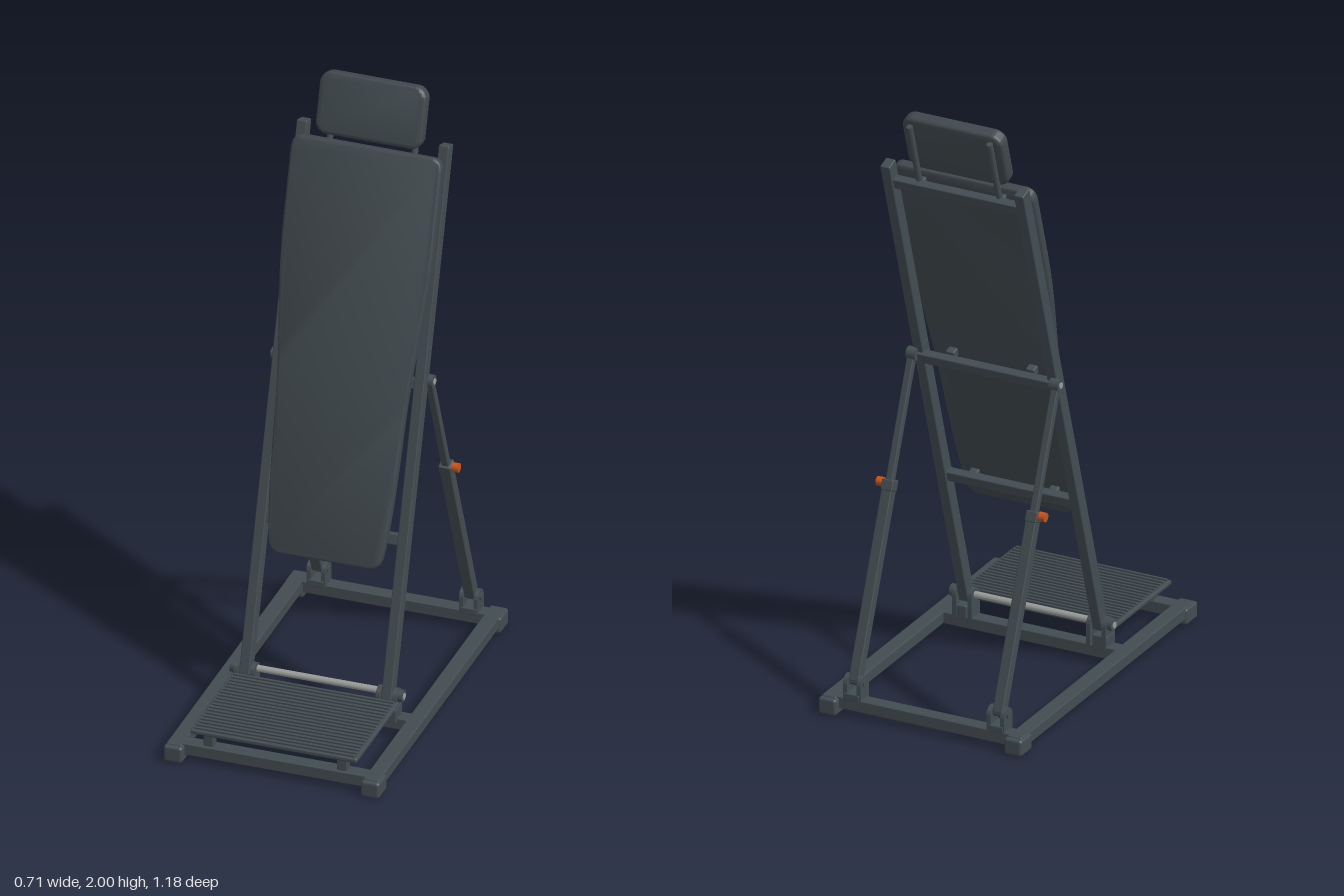
import * as THREE from 'three';
import { toCreasedNormals } from 'three/addons/utils/BufferGeometryUtils.js';
import { RoundedBoxGeometry } from 'three/addons/geometries/RoundedBoxGeometry.js';

const material = (name, color) => {
  const m = new THREE.MeshStandardMaterial({ color });
  m.name = name;
  return m;
};

export function createModel() {
  const steel = material('dark steel', 0x424c51);
  const padding = material('dark padding', 0x3f484d);
  const metal = material('bare metal', 0x979b98);
  const orange = material('orange knob', 0xc4521f);

  const model = new THREE.Group();
  model.name = 'inclineBench';

  const add = (parent, name, geometry, mat, x = 0, y = 0, z = 0) => {
    const mesh = new THREE.Mesh(geometry, mat);
    mesh.name = name;
    mesh.position.set(x, y, z);
    parent.add(mesh);
    return mesh;
  };
  const box = (parent, name, w, h, d, x, y, z, r = 0.004, mat = steel) =>
    add(parent, name, new RoundedBoxGeometry(w, h, d, 2, r), mat, x, y, z);
  // Cylinder lying along x
  const pin = (parent, name, r, length, x, y, z, mat = steel) =>
    add(parent, name, new THREE.CylinderGeometry(r, r, length, 24).rotateZ(Math.PI / 2), mat, x, y, z);
  // Padded slab: outline in x/y, thickness centred on z
  const slab = (parent, name, shape, thickness, bevel, z) => {
    const g = new THREE.ExtrudeGeometry(shape, {
      depth: thickness - 2 * bevel, bevelThickness: bevel, bevelSize: bevel,
      bevelOffset: -bevel, bevelSegments: 4, curveSegments: 10,
    });
    g.translate(0, 0, bevel - thickness / 2);
    return add(parent, name, toCreasedNormals(g, 0.7), padding, 0, 0, z);
  };
  // Bracket plate with a rounded top, facing along x
  const bracket = (name, x, z, pivotY, halfWidth) => {
    const s = new THREE.Shape();
    s.moveTo(-halfWidth, 0.055);
    s.lineTo(halfWidth, 0.055);
    s.lineTo(halfWidth, pivotY);
    s.absarc(0, pivotY, halfWidth, 0, Math.PI);
    s.closePath();
    const g = new THREE.ExtrudeGeometry(s, { depth: 0.014, bevelEnabled: false, curveSegments: 16 });
    g.translate(0, 0, -0.007).rotateY(Math.PI / 2);
    add(model, name, toCreasedNormals(g, 0.6), steel, x, 0, z);
  };

  const pivot = { y: 0.13, z: 0.166 };
  const strutFoot = new THREE.Vector3(0, 0.11, -0.535);
  const strutTop = new THREE.Vector3(0, 1.075, -0.157);
  const strutDir = strutTop.clone().sub(strutFoot);
  const strutLength = strutDir.length();
  const strutAngle = Math.atan2(strutDir.z, strutDir.y);

  // Floor frame
  for (const z of [-0.54, 0.165, 0.538])
    box(model, 'baseCrossbar', 0.61, 0.04, 0.048, 0, 0.04, z);

  // Foot platform with ribbed top
  box(model, 'footPlate', 0.55, 0.016, 0.385, 0, 0.11, 0.376, 0.006);
  for (let i = 0; i < 19; i++)
    box(model, 'footPlateRib', 0.53, 0.009, 0.009, 0, 0.12, 0.2 + i * 0.0197, 0.002);
  pin(model, 'pivotAxle', 0.011, 0.5, 0, pivot.y + 0.003, 0.161, metal);

  // Tilted back frame: y runs along the rails, z points out of the pad
  const back = new THREE.Group();
  back.name = 'backFrame';
  back.position.set(0, pivot.y, pivot.z);
  back.rotation.x = -0.301;
  model.add(back);
  box(back, 'lowerCrossbar', 0.45, 0.036, 0.03, 0, 0.49, 0);
  box(back, 'middleCrossbar', 0.49, 0.036, 0.03, 0, 0.985, -0.018);
  box(back, 'upperCrossbar', 0.45, 0.036, 0.03, 0, 1.685, 0);

  for (const side of [-1, 1]) {
    box(model, 'baseRail', 0.05, 0.04, 1.15, side * 0.325, 0.04, 0);
    for (const z of [-0.551, 0.551])
      box(model, 'foot', 0.062, 0.056, 0.076, side * 0.325, 0.028, z, 0.01);
    box(model, 'platformPost', 0.032, 0.05, 0.036, side * 0.22, 0.08, 0.535);

    // Front pivot brackets and bolts
    for (const x of [0.207, 0.261]) bracket('pivotBracket', side * x, 0.166, 0.125, 0.028);
    box(model, 'pivotBase', 0.05, 0.05, 0.06, side * 0.245, 0.07, 0.17);
    pin(model, 'pivotBoss', 0.02, 0.022, side * 0.273, pivot.y, pivot.z);
    pin(model, 'pivotBolt', 0.011, 0.008, side * 0.283, pivot.y, pivot.z, metal);

    // Rear brackets
    for (const x of [0.227, 0.275]) bracket('strutBracket', side * x, -0.535, 0.105, 0.028);
    box(model, 'strutBase', 0.055, 0.025, 0.06, side * 0.252, 0.065, -0.535);
    pin(model, 'strutBolt', 0.012, 0.07, side * 0.252, strutFoot.y, strutFoot.z);

    // Telescopic support strut
    const strut = new THREE.Group();
    strut.name = 'supportStrut';
    strut.position.set(side * 0.252, strutFoot.y, strutFoot.z);
    strut.rotation.x = strutAngle;
    model.add(strut);
    box(strut, 'outerTube', 0.036, 0.62, 0.036, 0, 0.31, 0);
    box(strut, 'tubeCollar', 0.04, 0.035, 0.04, 0, 0.62, 0);
    box(strut, 'innerTube', 0.024, strutLength - 0.6, 0.024, 0, (strutLength + 0.6) / 2, 0);
    pin(strut, 'knobStem', 0.007, 0.035, side * 0.025, 0.625, 0, metal);
    pin(strut, 'adjustmentKnob', 0.015, 0.022, side * 0.032, 0.625, 0, orange);
    pin(model, 'strutHinge', 0.021, 0.032, side * 0.25, strutTop.y, strutTop.z);
    pin(model, 'hingeBolt', 0.01, 0.008, side * 0.266, strutTop.y, strutTop.z, metal);

    // Long rails, pad spacers and headrest posts
    box(back, 'backRail', 0.034, 1.775, 0.045, side * 0.234, 0.87, 0);
    for (const y of [0.49, 0.985, 1.685])
      box(back, 'padSpacer', 0.03, 0.03, 0.032, side * 0.14, y, 0.024);
    const post = add(back, 'headrestPost', new THREE.CylinderGeometry(0.01, 0.01, 0.27, 16), steel,
      side * 0.14, 1.783, 0.014);
    post.scale.z = 1.1;
  }

  // Back pad, tapering toward the bottom
  const pad = new THREE.Shape();
  pad.moveTo(-0.145, 0.395);
  pad.lineTo(0.145, 0.395);
  pad.quadraticCurveTo(0.178, 0.395, 0.186, 0.43);
  pad.bezierCurveTo(0.205, 0.56, 0.206, 0.7, 0.212, 0.88);
  pad.bezierCurveTo(0.218, 1.08, 0.248, 1.25, 0.248, 1.45);
  pad.lineTo(0.248, 1.68);
  pad.quadraticCurveTo(0.246, 1.722, 0.21, 1.722);
  pad.lineTo(-0.21, 1.722);
  pad.quadraticCurveTo(-0.246, 1.722, -0.248, 1.68);
  pad.lineTo(-0.248, 1.45);
  pad.bezierCurveTo(-0.248, 1.25, -0.218, 1.08, -0.212, 0.88);
  pad.bezierCurveTo(-0.206, 0.7, -0.205, 0.56, -0.186, 0.43);
  pad.quadraticCurveTo(-0.178, 0.395, -0.145, 0.395);
  slab(back, 'backPad', pad, 0.037, 0.01, 0.052);

  // Headrest
  const w = 0.176, y0 = 1.737, y1 = 1.939, r = 0.04;
  const head = new THREE.Shape();
  head.moveTo(-w + r, y0);
  head.lineTo(w - r, y0);
  head.absarc(w - r, y0 + r, r, -Math.PI / 2, 0);
  head.absarc(w - r, y1 - r, r, 0, Math.PI / 2);
  head.absarc(-w + r, y1 - r, r, Math.PI / 2, Math.PI);
  head.absarc(-w + r, y0 + r, r, Math.PI, Math.PI * 1.5);
  slab(back, 'headrest', head, 0.05, 0.015, 0.048);

  return model;
}
